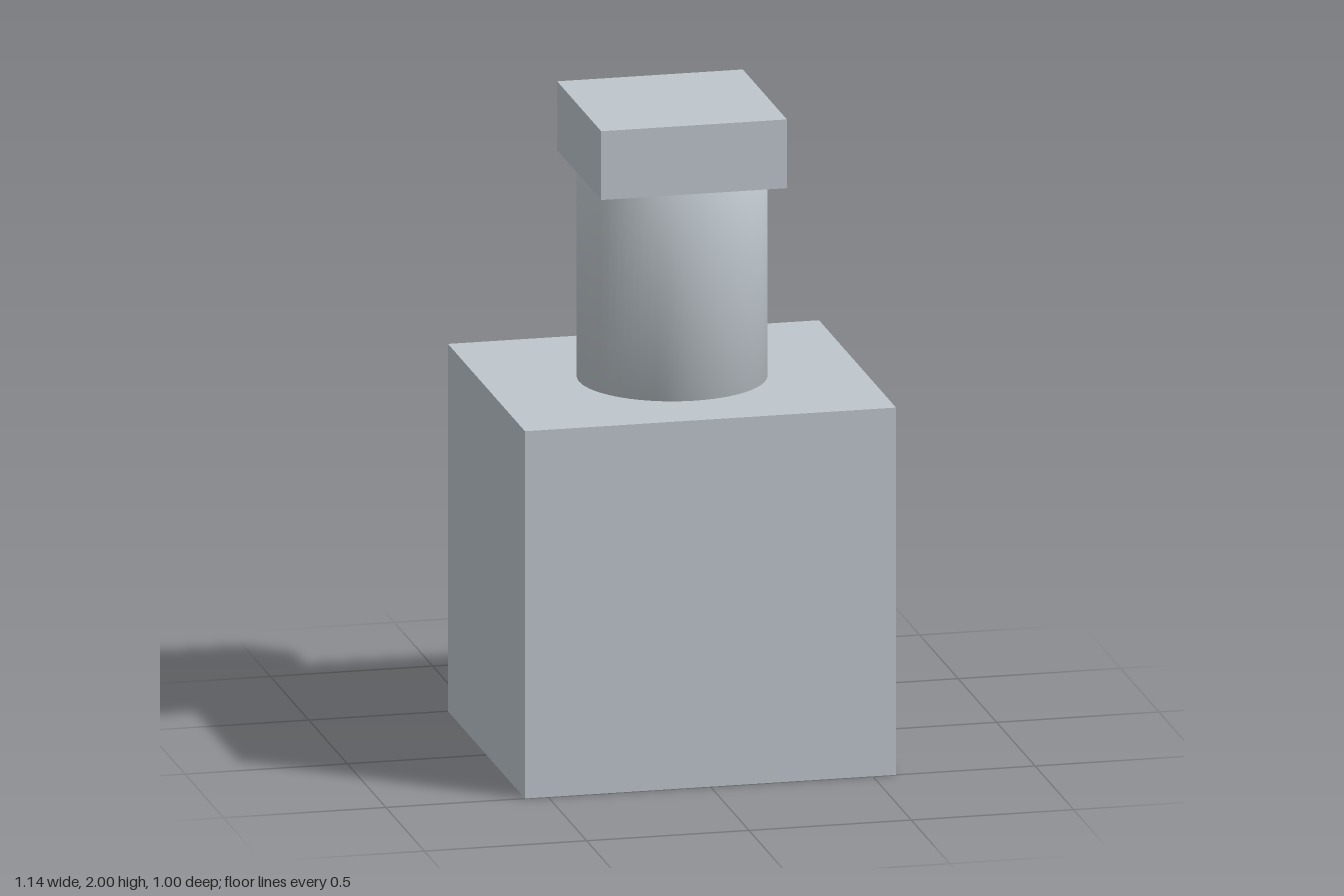
import * as THREE from 'three';
import { mergeVertices } from 'three/addons/utils/BufferGeometryUtils.js';

export function createModel() {
  const group = new THREE.Group();
  const paleGrey = new THREE.MeshStandardMaterial({ name: 'paleGrey', color: 0xbec6cc });

  const add = (name, geometry, y) => {
    const mesh = new THREE.Mesh(geometry, paleGrey);
    mesh.name = name;
    mesh.position.y = y;
    group.add(mesh);
  };

  const bodyHeight = 1.143, neckHeight = 0.643, capHeight = 0.214;

  // Large block at the bottom
  add('body', new THREE.BoxGeometry(1.143, bodyHeight, 1), bodyHeight / 2);

  // Round neck, with normals smoothed over its rims
  let neck = new THREE.CylinderGeometry(0.286, 0.286, neckHeight, 64);
  neck.deleteAttribute('normal');
  neck.deleteAttribute('uv');
  neck = mergeVertices(neck);
  neck.computeVertexNormals();
  add('neck', neck, bodyHeight + neckHeight / 2);

  // Square cap as wide as the neck
  add('cap', new THREE.BoxGeometry(0.572, capHeight, 0.572), 2 - capHeight / 2);

  return group;
}
